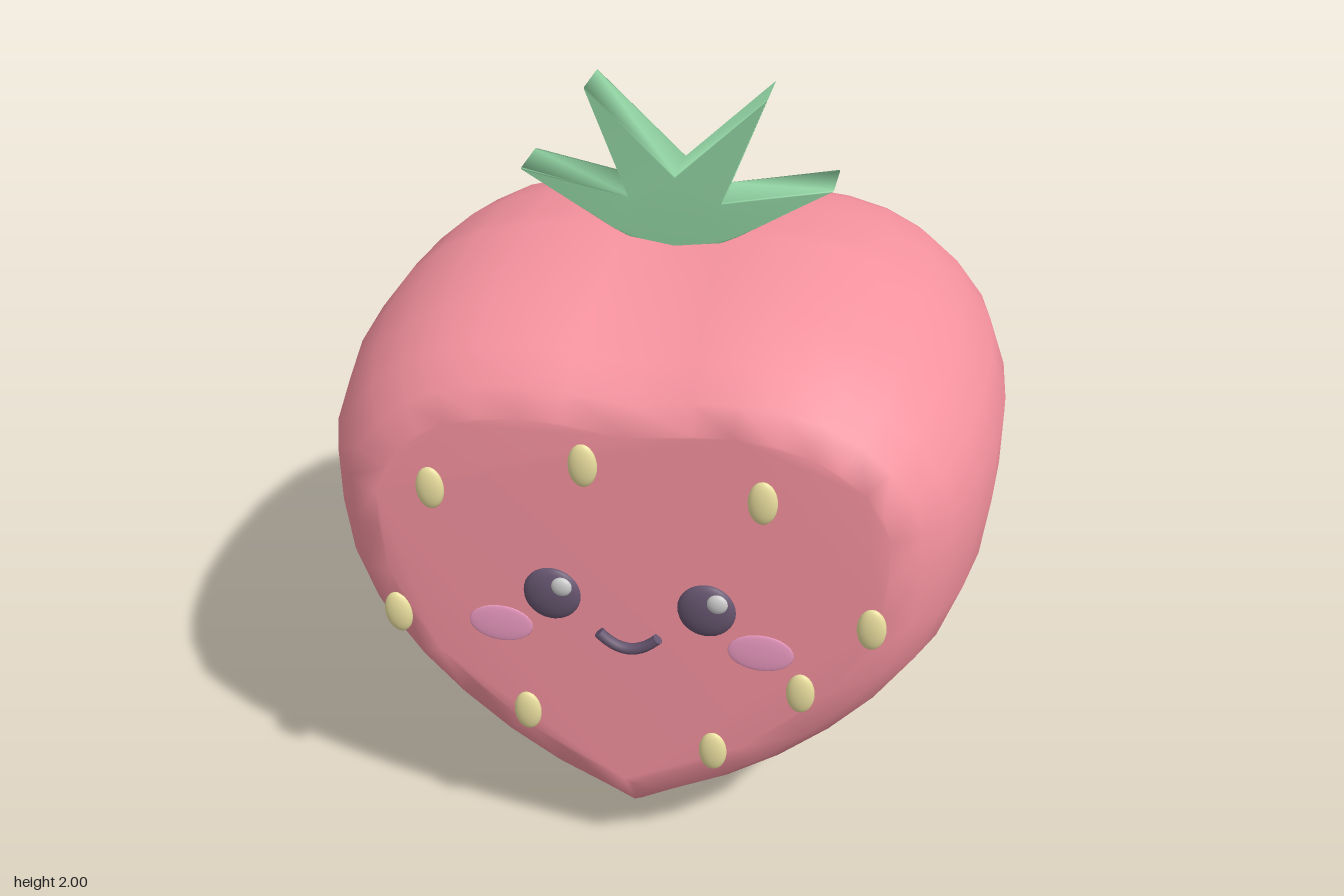
import * as THREE from 'three';
import { mergeVertices } from 'three/addons/utils/BufferGeometryUtils.js';

const FACE_Z = 0.665;
const material = (color) => new THREE.MeshStandardMaterial({ color });
const pink = material(0xf5929f), green = material(0x8fd0a0), dark = material(0x66556f);
const cream = material(0xeadf9f), blush = material(0xee9cc4), shine = material(0xcccccc);

// Closed outline from its right half; points on x = 0 are not repeated
function mirroredShape(half) {
  const left = half.filter(([x]) => x > 0).reverse().map(([x, y]) => [-x, y]);
  return new THREE.Shape([...half, ...left].map(([x, y]) => new THREE.Vector2(x, y)));
}

// Extrusion between two depths, bevelled inwards and smooth shaded
function smoothExtrude(shape, back, front, size, thickness, segments) {
  let geo = new THREE.ExtrudeGeometry(shape, {
    depth: front - back - 2 * thickness, steps: 1, bevelEnabled: true,
    bevelSize: size, bevelOffset: -size, bevelThickness: thickness, bevelSegments: segments,
  });
  geo.translate(0, 0, back + thickness);
  geo.deleteAttribute('uv');
  geo.deleteAttribute('normal');
  geo = mergeVertices(geo, 1e-4);
  geo.computeVertexNormals();
  return geo;
}

export function createModel() {
  const model = new THREE.Group();
  model.name = 'strawberry';

  function add(name, geometry, mat, parent = model) {
    const mesh = new THREE.Mesh(geometry, mat);
    mesh.name = name;
    parent.add(mesh);
    return mesh;
  }

  // Flattened ball sitting on the front face
  const ball = new THREE.SphereGeometry(1, 24, 16);
  function button(name, mat, x, y, rx, ry, rz, z = FACE_Z, tilt = 0) {
    const mesh = add(name, ball, mat);
    mesh.position.set(x, y, z);
    mesh.scale.set(rx, ry, rz);
    mesh.rotation.z = tilt;
  }

  // Body: heart-like berry outline with a deep rounded bevel front and back
  const berry = mirroredShape([
    [0, 0], [0.13, 0.07], [0.29, 0.15], [0.44, 0.25], [0.58, 0.37], [0.7, 0.5],
    [0.81, 0.66], [0.87, 0.83], [0.89, 1.0], [0.89, 1.17], [0.84, 1.31], [0.755, 1.42],
    [0.655, 1.505], [0.54, 1.565], [0.41, 1.6], [0.27, 1.615], [0.14, 1.61], [0, 1.59],
  ]);
  add('body', smoothExtrude(berry, -0.695, FACE_Z, 0.24, 0.65, 5), pink);

  // Leaves: four-pointed crown
  const crown = mirroredShape([
    [0, 1.57], [0.09, 1.585], [0.17, 1.625], [0.41, 1.77], [0.125, 1.715], [0.235, 2], [0, 1.78],
  ]);
  add('leaves', smoothExtrude(crown, -0.095, 0.062, 0.004, 0.012, 2), green);

  // Eyes with highlights, and cheeks
  for (const [side, s] of [['left', 1], ['right', -1]]) {
    button(side + 'Eye', dark, s * 0.2, 0.87, 0.075, 0.077, 0.025);
    button(side + 'EyeHighlight', shine, s * 0.2 + 0.03, 0.905, 0.027, 0.027, 0.013, 0.683);
    button(side + 'Cheek', blush, s * 0.34, 0.757, 0.085, 0.055, 0.006);
  }

  // Smile
  const smile = new THREE.QuadraticBezierCurve3(
    new THREE.Vector3(-0.077, 0.773, 0.677),
    new THREE.Vector3(0, 0.69, 0.677),
    new THREE.Vector3(0.077, 0.773, 0.677));
  const mouth = add('smile', new THREE.TubeGeometry(smile, 16, 0.015, 8), dark);
  for (const s of [-1, 1]) {
    const end = add('smileEnd', new THREE.CircleGeometry(0.015, 8), dark, mouth);
    end.position.set(s * 0.077, 0.773, 0.677);
    end.lookAt(s * 0.154, 0.856, 0.677);
  }

  // Seeds
  const seeds = [
    [-0.505, 1.15], [-0.11, 1.26], [0.335, 1.205], [0.615, 0.87],
    [0.445, 0.645], [0.22, 0.42], [-0.28, 0.48], [-0.618, 0.755, 0.1],
  ];
  for (const [x, y, tilt] of seeds) button('seed', cream, x, y, 0.037, 0.06, 0.018, FACE_Z, tilt);

  return model;
}
